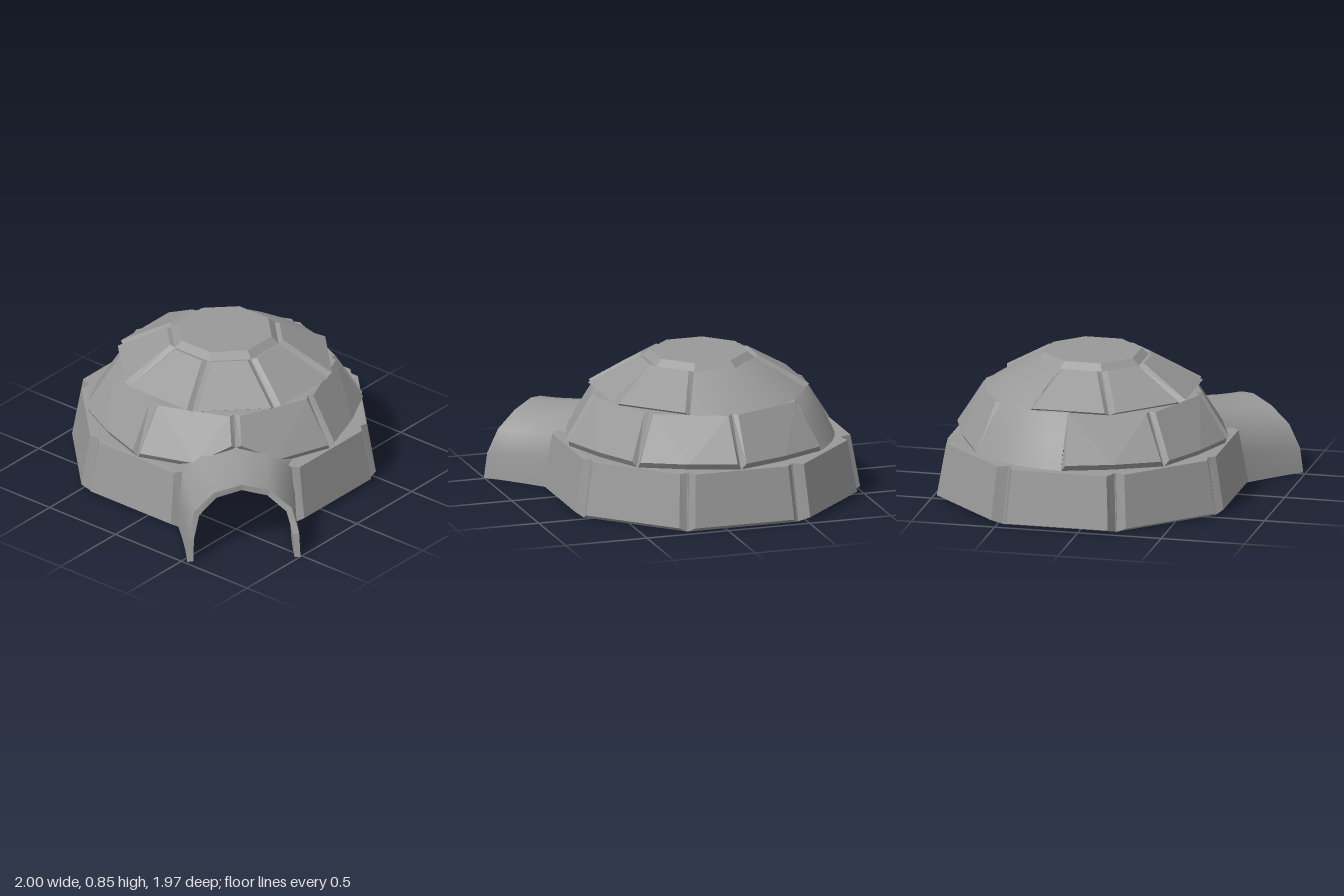
import * as THREE from 'three';

const STEP = Math.PI / 4, TAN = Math.tan(STEP / 2), COS = Math.cos(STEP / 2);
const color = 0x999999;
const material = new THREE.MeshStandardMaterial({ color, flatShading: true, side: THREE.DoubleSide });
const smooth = new THREE.MeshStandardMaterial({ color, side: THREE.DoubleSide });
const lerp = THREE.MathUtils.lerp;

// point at a given angle: w sideways, a outward, y up
const polar = (angle, w, y, a) => [
  a * Math.sin(angle) + w * Math.cos(angle), y, a * Math.cos(angle) - w * Math.sin(angle)];

function meshFrom(name, positions, index, mat = material) {
  const g = new THREE.BufferGeometry();
  g.setAttribute('position', new THREE.Float32BufferAttribute(positions.flat(), 3));
  if (index) g.setIndex(index);
  g.computeVertexNormals();
  const m = new THREE.Mesh(g, mat);
  m.name = name;
  return m;
}

// one eighth of a tier: groove strip, bevel and raised block face
function block(tier, k) {
  const angle = (k + tier.turn) * STEP;
  let outline = [[-1, 0], [0, 0], [1, 0], [1, 1], [-1, 1]];
  // corner cut away over the entrance
  if (tier.cut && k < 2) {
    outline = [[-1, 0], [0.2, 0], [1, 0.42], [1, 1], [-1, 1]];
    if (k === 1) outline = outline.map(([u, t]) => [-u, t]).reverse();
  }
  const loop = ([from, to], inset, push = 0) => outline.map(([u, t]) => {
    const half = lerp(tier.base[0][0], tier.base[1][0], t) * TAN - inset;
    const swell = tier.swell * (1 - Math.abs(u)) * (1 - t);
    return polar(angle, u * half, lerp(from[1], to[1], t), lerp(from[0], to[0], t) + swell + push);
  });
  const loops = [loop(tier.base, 0), loop(tier.base, tier.groove),
    loop(tier.face, tier.bevel, tier.push?.[k])];
  const tris = [], n = outline.length;
  for (let r = 0; r < 2; r++) {
    const A = loops[r], B = loops[r + 1];
    for (let i = 0; i < n; i++) {
      const j = (i + 1) % n;
      tris.push(A[i], A[j], B[j], A[i], B[j], B[i]);
    }
  }
  // face fanned out from the middle of its lower edge
  const face = loops[2], mid = outline.findIndex(([u, t]) => t === 0 && Math.abs(u) < 1);
  for (let i = 1; i + 1 < n; i++) tris.push(face[mid], face[(mid + i) % n], face[(mid + i + 1) % n]);
  return meshFrom('snowBlock', tris);
}

// rounded bare patch where a block is left out, tucked in under the tier above
function patch(tier, k) {
  const [[r0, y0], [r1, y1]] = tier.base.map(([a, y]) => [a / COS, y]);
  const points = [0, 0.5, 1].map(t => new THREE.Vector2(
    lerp(r0, r1, t) + 0.04 * t * (1 - t), lerp(y0, y1, t)));
  points.push(new THREE.Vector2(r1 - 0.07, y1 + 0.012));
  const mesh = new THREE.Mesh(
    new THREE.LatheGeometry(points, 6, (k + tier.turn - 0.5) * STEP, STEP), smooth);
  mesh.name = 'barePatch';
  return mesh;
}

// flat ledge joining two octagons that are turned half a step apart
function ledge(y, outer, inner, outerOdd, gap) {
  const tris = [];
  const at = (i, apothem, odd) => polar(i * STEP / 2, 0, y,
    (i % 2 === 1) === odd ? apothem / COS : apothem);
  for (let i = 0; i < 16; i++) {
    if (gap && (i === 1 || i === 2)) continue;
    const a = at(i, outer, outerOdd), b = at(i + 1, outer, outerOdd);
    const c = at(i + 1, inner, !outerOdd), d = at(i, inner, !outerOdd);
    tris.push(a, b, c, a, c, d);
  }
  return meshFrom('ledge', tris);
}

// surface through rows of points
function grid(name, rows, cols, point, mat) {
  const pts = [], index = [];
  for (let r = 0; r <= rows; r++) for (let c = 0; c <= cols; c++) pts.push(point(r / rows, c));
  for (let r = 0; r < rows; r++) for (let c = 0; c < cols; c++) {
    const a = r * (cols + 1) + c, b = a + cols + 1;
    index.push(a, a + 1, b, b, a + 1, b + 1);
  }
  return meshFrom(name, pts, index, mat);
}

function entrance() {
  const group = new THREE.Group();
  group.name = 'entranceTunnel';
  // half arch profiles, foot to top, as fractions of half width and height
  const mirror = half => [...half.map(([x, y]) => [-x, y]), ...half.slice(0, -1).reverse()];
  const mouth = mirror([[1, 0], [0.98, 0.36], [0.86, 0.7], [0.5, 0.92], [0, 1]]);
  const root = mirror([[1, 0], [0.98, 0.4], [0.94, 0.72], [0.6, 0.9], [0, 1]]);
  const last = mouth.length - 1, T = 0.035;
  const point = (s, i, thick) => {
    const flare = (1 - s) ** 2;
    const x = lerp(mouth[i][0], root[i][0], flare), y = lerp(mouth[i][1], root[i][1], flare);
    const width = 0.32 + 0.012 * s + 0.032 * flare - thick;
    const height = 0.42 + 0.05 * flare - thick;
    const near = 0.76 - 0.1 * y, far = 1.235 - 0.14 * y * y;
    return polar(STEP, x * width, y * height, lerp(near, far, s));
  };
  group.add(
    grid('tunnelOutside', 6, last, (s, i) => point(s, i, 0), smooth),
    grid('tunnelInside', 6, last, (s, i) => point(s, last - i, T), material),
    grid('tunnelFrontRim', 1, last, (r, i) => point(1, i, r * T), material),
    grid('tunnelBackRim', 1, last, (r, i) => point(0, last - i, r * T), material));
  for (const i of [0, last]) {
    group.add(grid('tunnelFoot', 6, 1, (s, r) => point(s, i, r * T), material));
  }
  return group;
}

export function createModel() {
  const model = new THREE.Group();
  model.name = 'igloo';

  // base and face: [apothem, height] at bottom and top; push: extra bulk of single blocks
  const tiers = [
    { name: 'lowerTier', turn: 0, base: [[0.82, 0], [0.77, 0.34]], face: [[0.858, 0.025], [0.805, 0.337]],
      groove: 0.005, bevel: 0.035, swell: 0, bare: [], open: 1, push: [0, 0, 0, 0, 0, 0.025, 0.035, 0.01] },
    { name: 'middleTier', turn: 0.5, base: [[0.735, 0.34], [0.58, 0.632]], face: [[0.757, 0.375], [0.61, 0.628]],
      groove: 0.003, bevel: 0.02, swell: 0.02, bare: [5], cut: true },
    { name: 'upperTier', turn: 0, base: [[0.577, 0.632], [0.3, 0.81]], face: [[0.608, 0.65], [0.33, 0.82]],
      groove: 0.003, bevel: 0.022, swell: 0, bare: [4, 5] },
  ];
  for (const tier of tiers) {
    const group = new THREE.Group();
    group.name = tier.name;
    for (let k = 0; k < 8; k++) {
      if (k !== tier.open) group.add(tier.bare.includes(k) ? patch(tier, k) : block(tier, k));
    }
    model.add(group);
  }
  model.add(ledge(0.34, 0.77, 0.735, true, true), ledge(0.632, 0.58, 0.577, false, false));

  // octagonal cap stone
  const cap = new THREE.Mesh(new THREE.CylinderGeometry(0.265 / COS, 0.305 / COS, 0.04, 8), material);
  cap.name = 'capStone';
  cap.rotation.y = STEP / 2;
  cap.position.y = 0.83;
  model.add(cap, entrance());

  // the tunnel shifts the dome off centre
  for (const part of model.children) {
    part.position.x -= 0.107;
    part.position.z -= 0.125;
  }
  return model;
}
